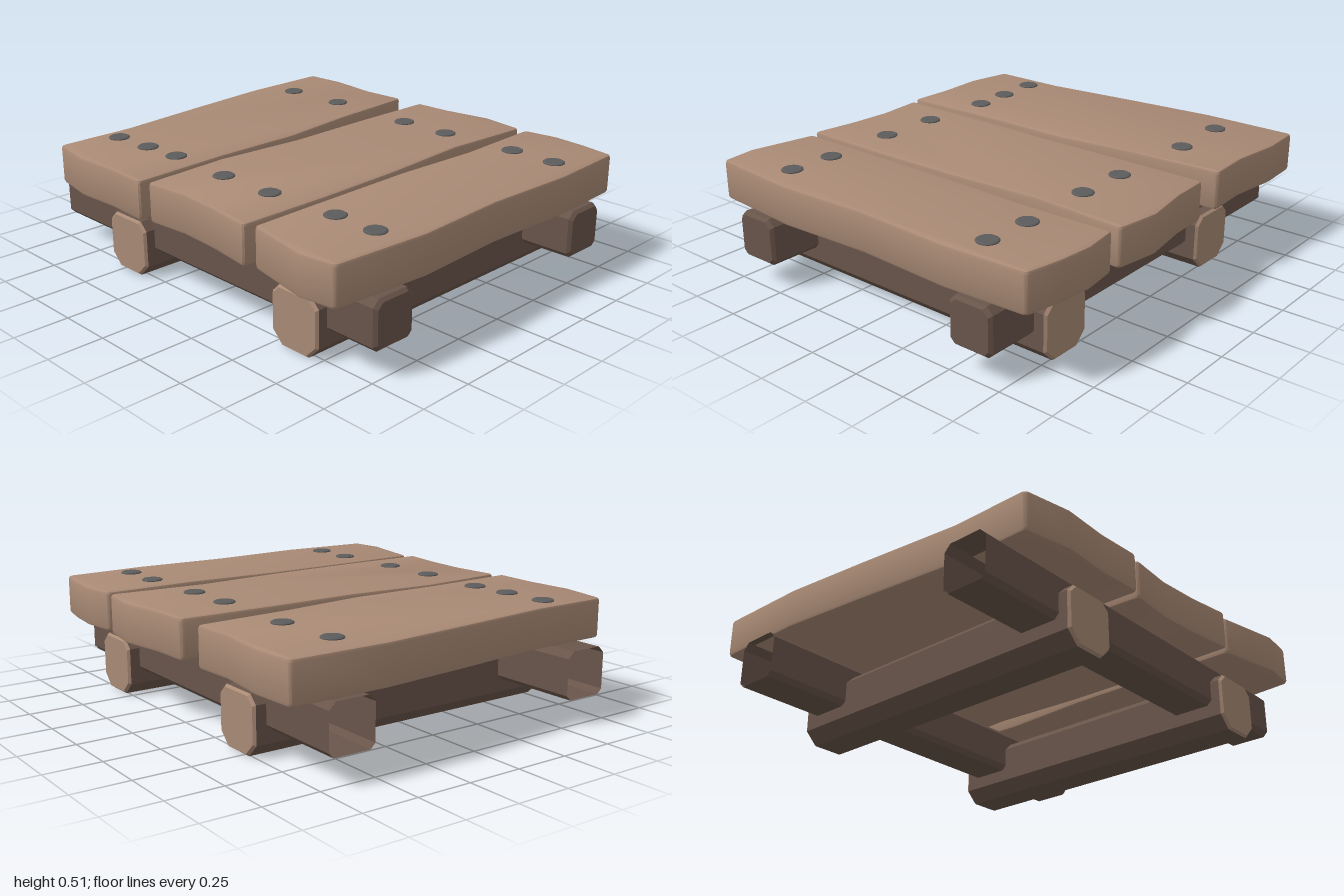
import * as THREE from 'three';
import { toCreasedNormals } from 'three/addons/utils/BufferGeometryUtils.js';

const plankMat = new THREE.MeshStandardMaterial({ color: 0xa98a75 });
const beamMat = new THREE.MeshStandardMaterial({ color: 0x69554a });
const railMat = new THREE.MeshStandardMaterial({ color: 0x69554a, side: THREE.DoubleSide });
const boltMat = new THREE.MeshStandardMaterial({ color: 0x5c5c5c });

function addMesh(parent, name, geometry, material) {
  const mesh = new THREE.Mesh(geometry, material);
  mesh.name = name;
  parent.add(mesh);
  return mesh;
}

// Rectangle centred on the origin with separate top and bottom chamfers
function chamferedSection(w, h, top, bottom) {
  const x = w / 2, y = h / 2;
  return [
    [x, -y + bottom], [x, y - top], [x - top, y], [-x + top, y],
    [-x, y - top], [-x, -y + bottom], [-x + bottom, -y], [x - bottom, -y],
  ];
}

// Sweeps a section along z through [z, scale] stations; scale 0 closes the end
function loft(section, stations) {
  const pos = [];
  const point = ([z, s], j) => {
    const [x, y] = section[j % section.length];
    return [x * s, y * s, z];
  };
  for (let i = 0; i < stations.length - 1; i++) {
    const [lo, hi] = [stations[i], stations[i + 1]];
    for (let j = 0; j < section.length; j++) {
      const a = point(lo, j), b = point(lo, j + 1), c = point(hi, j + 1), d = point(hi, j);
      pos.push(...a, ...b, ...c);
      if (hi[1] > 0) pos.push(...a, ...c, ...d);
    }
  }
  const geo = new THREE.BufferGeometry();
  geo.setAttribute('position', new THREE.Float32BufferAttribute(pos, 3));
  return toCreasedNormals(geo, 0.4);
}

// Wavy board from an [x, z] outline, with small rounded corners and edges
function plankGeometry(outline) {
  const bevel = 0.014, round = 0.022, thickness = 0.18;
  const pts = outline.map(([x, z]) => new THREE.Vector2(x, -z));
  const corners = [0, 4, 7, 11];
  const shape = new THREE.Shape();
  pts.forEach((p, i) => {
    const go = (q) => (i === 0 && shape.curves.length === 0 && q.first
      ? shape.moveTo(q.x, q.y) : shape.lineTo(q.x, q.y));
    if (!corners.includes(i)) return go(p);
    const toward = (q) => q.clone().sub(p).setLength(round).add(p);
    const start = toward(pts[(i + pts.length - 1) % pts.length]);
    const end = toward(pts[(i + 1) % pts.length]);
    start.first = true;
    go(start);
    shape.quadraticCurveTo(p.x, p.y, end.x, end.y);
  });
  shape.closePath();
  const geo = new THREE.ExtrudeGeometry(shape, {
    depth: thickness - 2 * bevel, curveSegments: 3,
    bevelEnabled: true, bevelThickness: bevel, bevelSize: bevel, bevelOffset: -bevel, bevelSegments: 2,
  });
  geo.translate(0, 0, bevel).rotateX(-Math.PI / 2);
  return toCreasedNormals(geo, 0.6);
}

// Outlines run along the back edge, left end, front edge, right end
const planks = [
  {
    name: 'backPlank',
    outline: [[-0.83, -0.89], [-0.46, -0.89], [0, -0.94], [0.42, -0.98], [0.865, -0.98], [0.877, -0.77],
      [0.85, -0.53], [0.862, -0.32], [0.42, -0.295], [0.03, -0.25], [-0.4, -0.255], [-0.87, -0.235],
      [-0.86, -0.45], [-0.87, -0.67]],
    bolts: [[-0.575, -0.79], [-0.565, -0.58], [-0.555, -0.385], [0.555, -0.805], [0.57, -0.49]],
  },
  {
    name: 'middlePlank',
    outline: [[-0.85, -0.2], [-0.43, -0.225], [0, -0.19], [0.42, -0.195], [0.862, -0.19], [0.87, 0],
      [0.905, 0.225], [0.875, 0.43], [0.43, 0.4], [0, 0.43], [-0.43, 0.44], [-0.875, 0.435],
      [-0.845, 0.22], [-0.832, 0.02]],
    bolts: [[-0.573, -0.035], [-0.573, 0.255], [0.555, -0.02], [0.555, 0.24]],
  },
  {
    name: 'frontPlank',
    outline: [[-0.85, 0.47], [-0.43, 0.465], [0, 0.462], [0.42, 0.485], [0.868, 0.47], [0.89, 0.64],
      [0.875, 0.8], [0.845, 0.96], [0.45, 0.98], [0, 0.96], [-0.44, 0.982], [-0.89, 0.945],
      [-0.91, 0.78], [-0.875, 0.6]],
    bolts: [[-0.557, 0.615], [-0.562, 0.832], [0.57, 0.617], [0.565, 0.845]],
  },
];

export function createModel() {
  const model = new THREE.Group();
  model.name = 'woodenPlatform';

  // Deck boards and their bolts
  const boltProfile = [[0.048, 0], [0.048, 0.005], [0.042, 0.009], [0, 0.009]]
    .map(([x, y]) => new THREE.Vector2(x, y));
  const boltGeo = toCreasedNormals(new THREE.LatheGeometry(boltProfile, 20), 0.5);
  for (const { name, outline, bolts } of planks) {
    const group = new THREE.Group();
    group.name = name;
    model.add(group);
    addMesh(group, 'board', plankGeometry(outline), plankMat).position.y = 0.326;
    for (const [x, z] of bolts) addMesh(group, 'bolt', boltGeo, boltMat).position.set(x, 0.505, z);
  }

  // Lengthwise rails: closed and bevelled in front, open at the back
  const railGeo = loft(chamferedSection(0.212, 0.213, 0.03, 0.022),
    [[-1, 1], [0.985, 1], [1, 0.88], [1, 0]]);
  for (const [name, x] of [['rightRail', -0.63], ['leftRail', 0.605]]) {
    addMesh(model, name, railGeo, railMat).position.set(x, 0.22, 0);
  }

  // Cross beams with pale cut ends
  const beamSection = chamferedSection(0.255, 0.26, 0.038, 0.056);
  const half = 0.78, lip = 0.012;
  const beamGeo = loft(beamSection, [[lip - half, 1], [half - lip, 1]]);
  const endGeo = loft(beamSection, [[half - lip, 1], [half, 0.93], [half, 0]]);
  for (const [name, z] of [['frontBeam', 0.622], ['backBeam', -0.457]]) {
    const beam = new THREE.Group();
    beam.name = name;
    beam.position.set(-0.01, 0.13, z);
    model.add(beam);
    addMesh(beam, 'beamBody', beamGeo, beamMat).rotation.y = Math.PI / 2;
    for (const side of [-1, 1]) {
      addMesh(beam, 'beamEnd', endGeo, plankMat).rotation.y = side * Math.PI / 2;
    }
  }
  return model;
}
